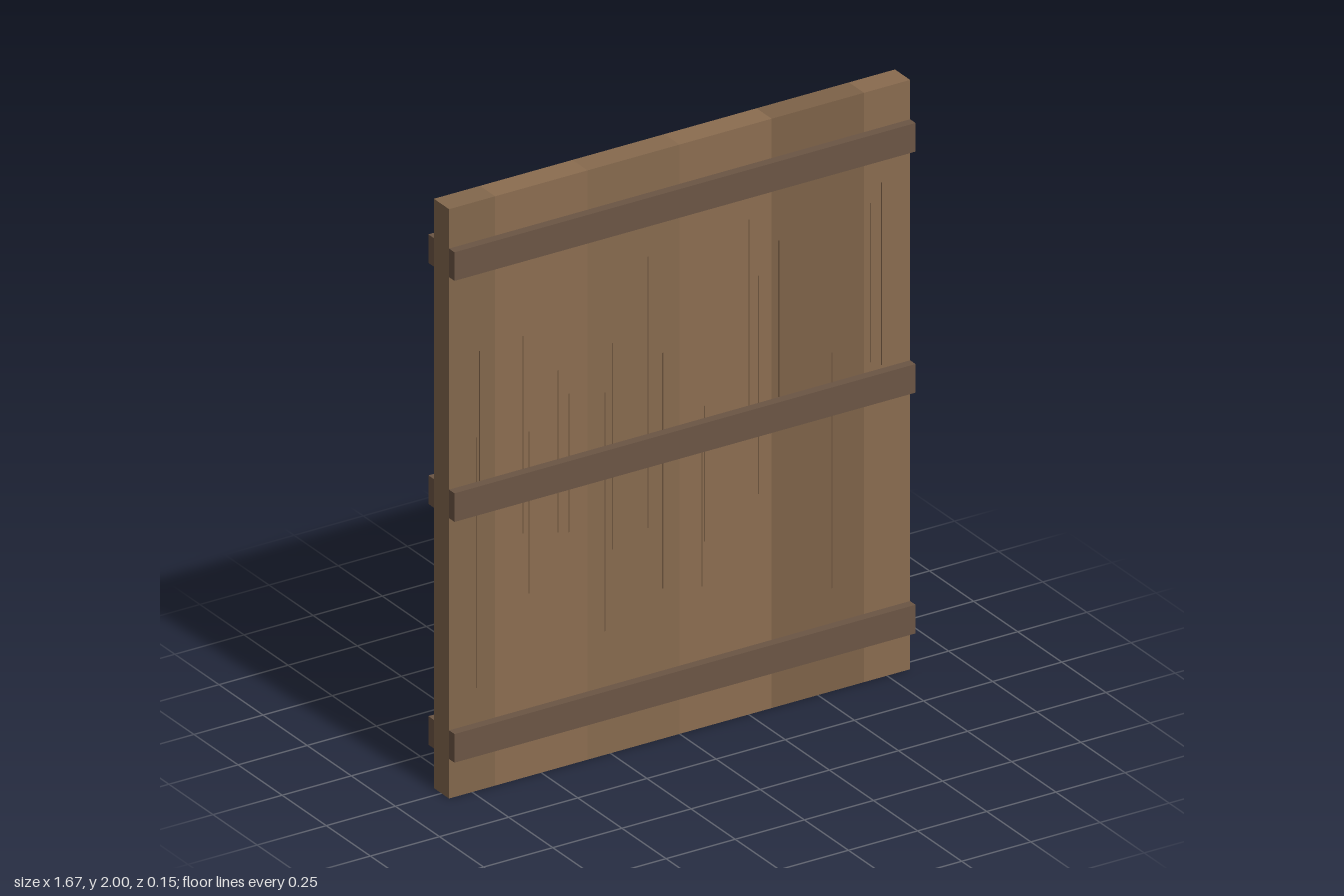
import * as THREE from 'three';

const WIDTH = 1.667, HEIGHT = 2, BOARD_DEPTH = 0.086, BATTEN_DEPTH = 0.031;

function addBox(parent, name, size, position, color) {
  const material = new THREE.MeshStandardMaterial({ color });
  const mesh = new THREE.Mesh(new THREE.BoxGeometry(...size), material);
  mesh.name = name;
  mesh.position.set(...position);
  parent.add(mesh);
  return mesh;
}

export function createModel() {
  const model = new THREE.Group();
  model.name = 'woodenPanel';

  // Upright boards, butted together with slightly different tones
  const boards = new THREE.Group();
  boards.name = 'boards';
  model.add(boards);
  const edges = [-WIDTH / 2, -0.667, -0.333, 0, 0.333, 0.667, WIDTH / 2];
  const tones = [0x82674c, 0x8b6d50, 0x876a4e, 0x8b6d50, 0x7d6248, 0x896b4f];
  tones.forEach((tone, i) => {
    const width = edges[i + 1] - edges[i];
    addBox(boards, 'board', [width, HEIGHT, BOARD_DEPTH],
      [edges[i] + width / 2, HEIGHT / 2, 0], tone);
  });

  // Horizontal battens on both faces
  const battens = new THREE.Group();
  battens.name = 'battens';
  model.add(battens);
  for (const side of [1, -1]) {
    for (const y of [0.183, 1, 1.818]) {
      addBox(battens, side > 0 ? 'frontBatten' : 'backBatten', [WIDTH, 0.097, BATTEN_DEPTH],
        [0, y, side * (BOARD_DEPTH + BATTEN_DEPTH) / 2], 0x6b5544);
    }
  }

  // Fine grain marks: x, bottom, top
  const grain = new THREE.Group();
  grain.name = 'grain';
  model.add(grain);
  const frontMarks = [
    [-0.735, 0.35, 1.2], [-0.723, 1.0, 1.49], [-0.567, 0.83, 1.5], [-0.545, 0.62, 1.17],
    [-0.44, 0.8, 1.35], [-0.4, 0.79, 1.26], [-0.27, 0.42, 1.23], [-0.243, 0.69, 1.39],
    [-0.115, 0.73, 1.65], [-0.06, 0.51, 1.31], [0.08, 0.48, 1.0], [0.09, 0.63, 1.09],
    [0.25, 1.0, 1.68], [0.285, 0.74, 1.48], [0.36, 1.0, 1.58], [0.55, 0.35, 1.15],
    [0.69, 1.08, 1.62], [0.73, 1.06, 1.68],
  ];
  const backMarks = [
    [-0.753, 1.0, 1.39], [-0.599, 0.54, 1.29], [-0.57, 1.0, 1.38], [-0.452, 0.63, 1.38],
    [-0.364, 0.76, 1.51], [-0.276, 1.0, 1.47], [-0.055, 1.0, 1.69], [0.047, 0.45, 1.0],
    [0.238, 0.82, 1.72], [0.42, 1.0, 1.37], [0.635, 0.53, 1.32], [0.78, 0.26, 0.9],
  ];
  for (const [side, marks] of [[1, frontMarks], [-1, backMarks]]) {
    for (const [x, bottom, top] of marks) {
      addBox(grain, 'grainMark', [0.003, top - bottom, 0.002],
        [x, (top + bottom) / 2, side * BOARD_DEPTH / 2], 0x6a523c);
    }
  }
  return model;
}
